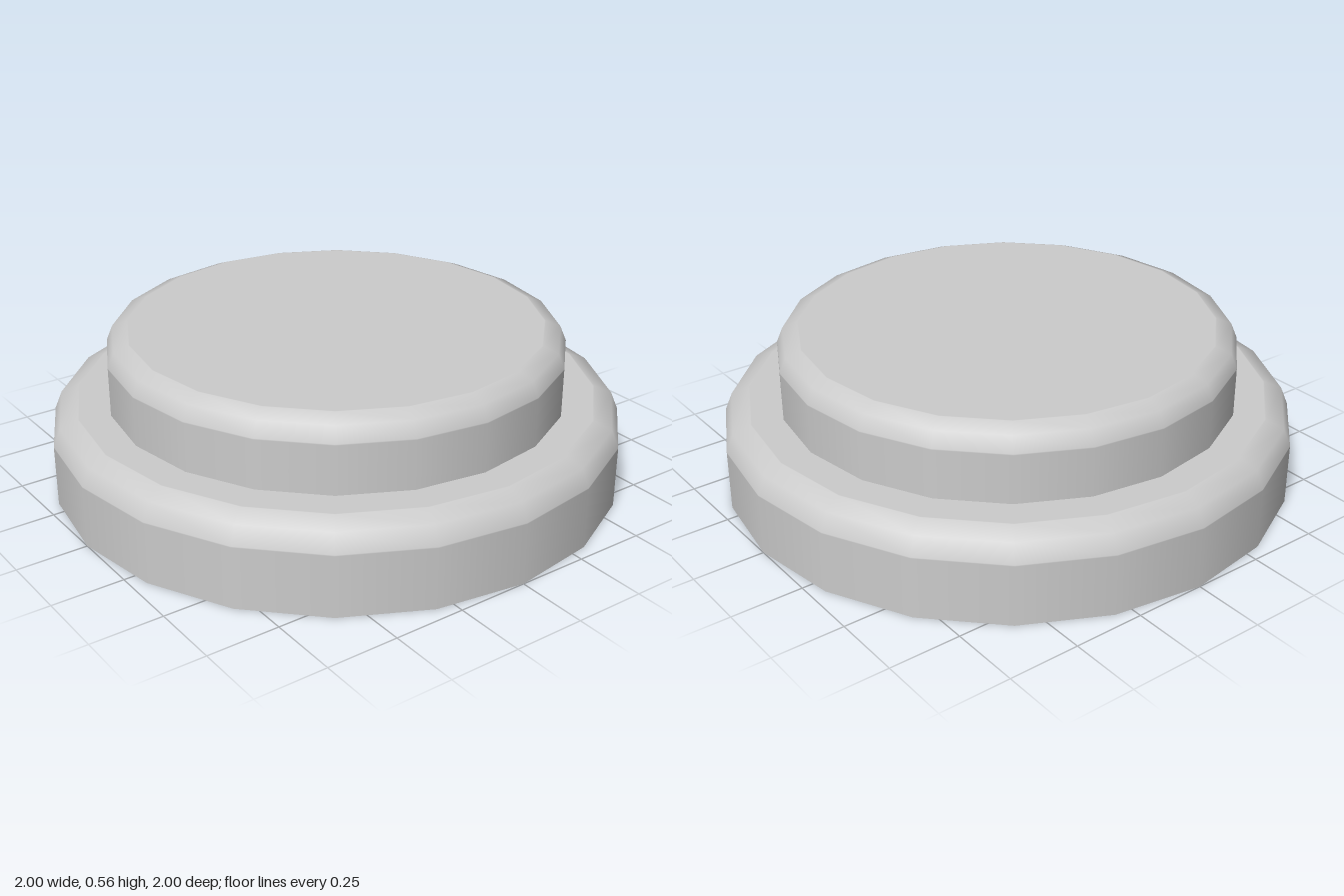
import * as THREE from 'three';

const SIDES = 20;

// Open-bottomed round cap: straight wall, two-step rounded rim, flat top
function capShell(name, radius, bottom, top, bevel, material) {
  const profile = [new THREE.Vector2(radius, bottom)];
  // support loop keeps the wall shading straight
  profile.push(new THREE.Vector2(radius, top - bevel - 0.004));
  for (let i = 0; i <= 2; i++) {
    const a = (i / 2) * Math.PI / 2;
    profile.push(new THREE.Vector2(
      radius - bevel + bevel * Math.cos(a),
      top - bevel + bevel * Math.sin(a)
    ));
  }
  // support loop keeps the top shading flat
  profile.push(new THREE.Vector2(radius - bevel - 0.004, top));
  profile.push(new THREE.Vector2(0, top));
  const mesh = new THREE.Mesh(new THREE.LatheGeometry(profile, SIDES), material);
  mesh.name = name;
  return mesh;
}

export function createModel() {
  const group = new THREE.Group();
  group.name = 'steppedRoundCap';
  const material = new THREE.MeshStandardMaterial({ color: 0xcccccc, side: THREE.DoubleSide });

  // Wide base, with a closed top
  group.add(capShell('base', 1, 0, 0.307, 0.088, material));
  // Narrower upper step; its wall reaches a little below the base's top
  group.add(capShell('upperStep', 0.8, 0.265, 0.556, 0.074, material));

  return group;
}
